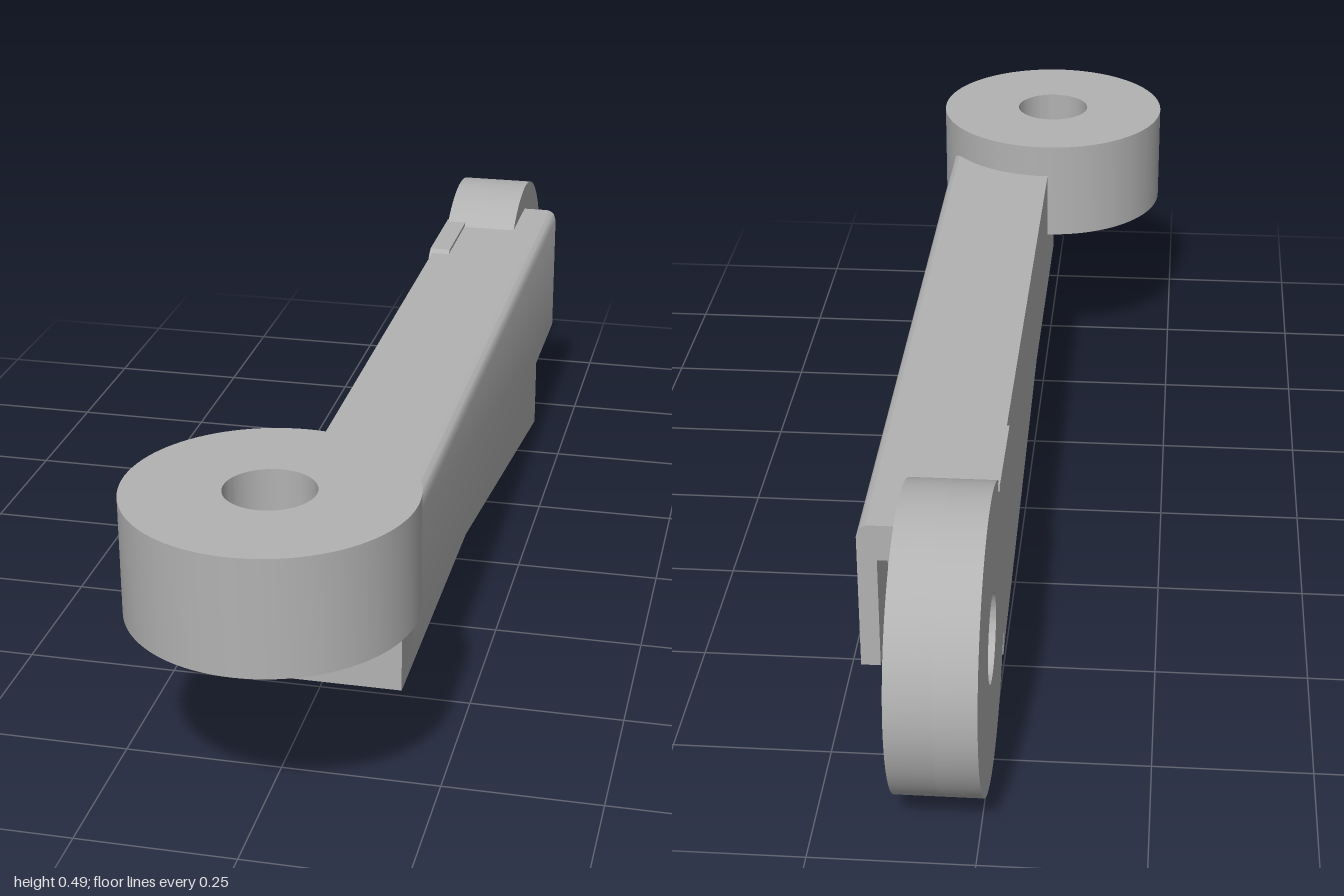
import * as THREE from 'three';
import { toCreasedNormals } from 'three/addons/utils/BufferGeometryUtils.js';

const grey = new THREE.MeshStandardMaterial({ color: 0xb2b2b2 });
grey.name = 'plain grey';

// Shape from [z, y] points of the side profile
const profile = (pts) => new THREE.Shape(pts.map(([z, y]) => new THREE.Vector2(-z, y)));

// Circle or polygon outline around a centre
function outline(Type, cx, cy, r, sides, turn = 0) {
  const pts = [];
  for (let i = 0; i < sides; i++) {
    const a = turn + (i / sides) * Math.PI * 2;
    pts.push(new THREE.Vector2(cx + r * Math.cos(a), cy + r * Math.sin(a)));
  }
  return new Type(pts);
}

function extrude(shape, depth, steps = 1) {
  return new THREE.ExtrudeGeometry(shape, { depth, steps, bevelEnabled: false });
}

// Side profile extruded across the width, from x0 to x1
const across = (shape, x0, x1, steps) => extrude(shape, x1 - x0, steps).rotateY(Math.PI / 2).translate(x0, 0, 0);
// Plan shape (x, -z) extruded upwards, from y0 to y1
const upward = (shape, y0, y1) => extrude(shape, y1 - y0).rotateX(-Math.PI / 2).translate(0, y0, 0);

export function createModel() {
  const model = new THREE.Group();
  const add = (parent, name, geometry) => {
    const mesh = new THREE.Mesh(toCreasedNormals(geometry, 0.5), grey);
    mesh.name = name;
    parent.add(mesh);
  };

  // Arm: three layers across the width, stepped around the hub and its nut pocket
  const arm = new THREE.Group();
  arm.name = 'arm';
  model.add(arm);
  const top = 0.427, low = 0.178, x0 = -0.003, xHub = 0.128, xPocket = 0.165, xOut = 0.195;
  const front = [[0.69, top], [0.69, low], [0.25, low], [-0.54, 0.05]];
  add(arm, 'armInnerLayer', across(profile(
    [...front, [-0.54, 0.17], [-0.6, 0.18], [-0.6, 0.4], [-0.62, top]]), x0, xHub));
  add(arm, 'armPocketLayer', across(profile(
    [...front, [-0.54, low], [-0.652, low], [-0.652, 0.302], [-0.762, 0.367], [-0.762, top]]), xHub, xPocket));

  // Outer layer has a rounded top edge
  const outer = across(profile([...front, [-0.54, low], [-0.762, low], [-0.762, top]]), xPocket, xOut, 8);
  const pos = outer.attributes.position, r = 0.02;
  for (let i = 0; i < pos.count; i++) {
    const d = Math.max(0, pos.getX(i) - (xOut - r));
    if (pos.getY(i) > top - 0.001) pos.setY(i, top - r + Math.sqrt(Math.max(0, r * r - d * d)));
  }
  add(arm, 'armOuterLayer', outer);

  // Low ridge running into the hub
  add(arm, 'hubRidge', across(profile(
    [[-0.44, 0.42], [-0.64, 0.42], [-0.64, 0.433], [-0.46, 0.433]]), -0.008, 0.03));

  // Foot of the arm under the ring, with a shallow quarter-round cut
  const footZ = 0.78, bore = 0.07;
  add(arm, 'armFoot', across(profile(
    [[0.69, low], [footZ, low], [footZ, 0.285], [0.69, 0.285]]), x0, xOut));
  const rim = new THREE.Shape();
  rim.moveTo(bore, -footZ);
  rim.lineTo(xOut, -footZ);
  rim.lineTo(xOut, -0.69);
  rim.lineTo(x0, -0.69);
  rim.lineTo(x0, -footZ + bore);
  rim.absarc(0, -footZ, bore, Math.PI / 2, 0, true);
  add(arm, 'armFootRim', upward(rim, 0.285, 0.302));

  // Flat-lying ring at the front
  const ring = outline(THREE.Shape, 0, -footZ, 0.22, 96);
  ring.holes.push(outline(THREE.Path, 0, -footZ, bore, 64));
  add(model, 'frontRing', upward(ring, 0.301, 0.488));

  // Upright hub at the back: round bore on one side, hexagonal nut pocket on the other
  const hub = new THREE.Group();
  hub.name = 'rearHub';
  model.add(hub);
  const hubX = 0.763, hubY = 0.237, xMid = 0.06;
  const boreHalf = outline(THREE.Shape, hubX, hubY, 0.237, 96);
  boreHalf.holes.push(outline(THREE.Path, hubX, hubY, bore, 64));
  add(hub, 'hubBoreHalf', across(boreHalf, x0 - 0.002, xMid));
  const nutHalf = outline(THREE.Shape, hubX, hubY, 0.237, 96);
  nutHalf.holes.push(outline(THREE.Path, hubX, hubY, 0.13, 6, Math.PI / 6));
  add(hub, 'hubNutHalf', across(nutHalf, xMid, 0.13));

  return model;
}
